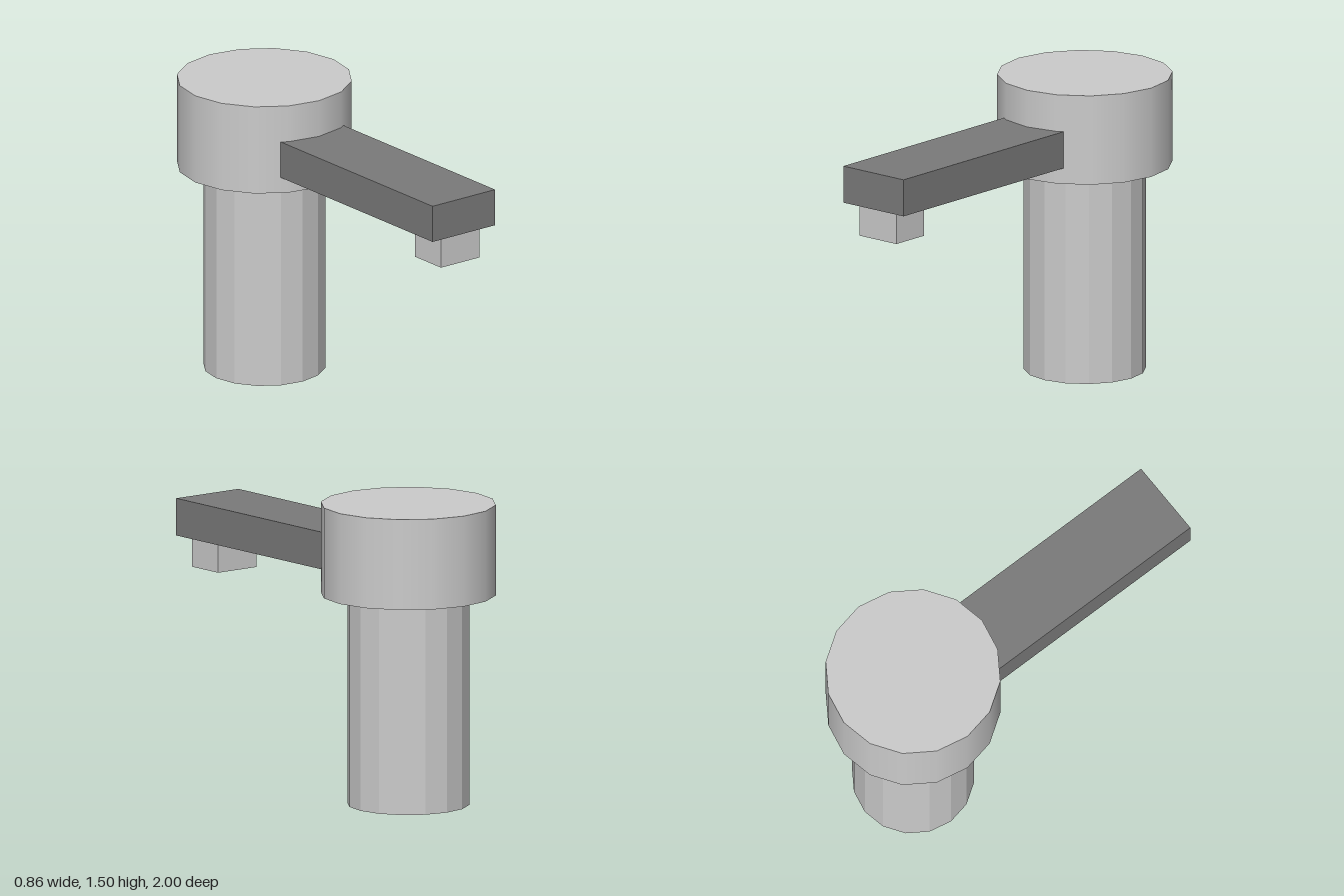
import * as THREE from 'three';

export function createModel() {
  const model = new THREE.Group();
  model.name = 'tap';

  // DoubleSide because the column is an open tube
  const lightGrey = new THREE.MeshStandardMaterial({ color: 0xcccccc, side: THREE.DoubleSide });
  lightGrey.name = 'light grey';
  const darkGrey = new THREE.MeshStandardMaterial({ color: 0x7b7b7b });
  darkGrey.name = 'dark grey';

  const bodyZ = -0.57;
  const sides = 16;

  const add = (name, geometry, material, x, y, z) => {
    const mesh = new THREE.Mesh(geometry, material);
    mesh.name = name;
    mesh.position.set(x, y, z);
    model.add(mesh);
  };

  // Faceted column, open at the bottom
  const column = new THREE.CylinderGeometry(0.3, 0.3, 1.045, sides, 1, true).toNonIndexed();
  column.computeVertexNormals();
  add('column', column, lightGrey, 0, 0.5225, bodyZ);

  // Smooth, wider head
  add('head', new THREE.CylinderGeometry(0.43, 0.43, 0.45, sides), lightGrey, 0, 1.27, bodyZ);

  // Arm reaching forward out of the head
  add('arm', new THREE.BoxGeometry(0.39, 0.185, 1.3), darkGrey, -0.002, 1.217, 0.35);

  // Outlet under the end of the arm
  add('outlet', new THREE.BoxGeometry(0.24, 0.16, 0.205), lightGrey, 0, 1.045, 0.867);

  return model;
}
